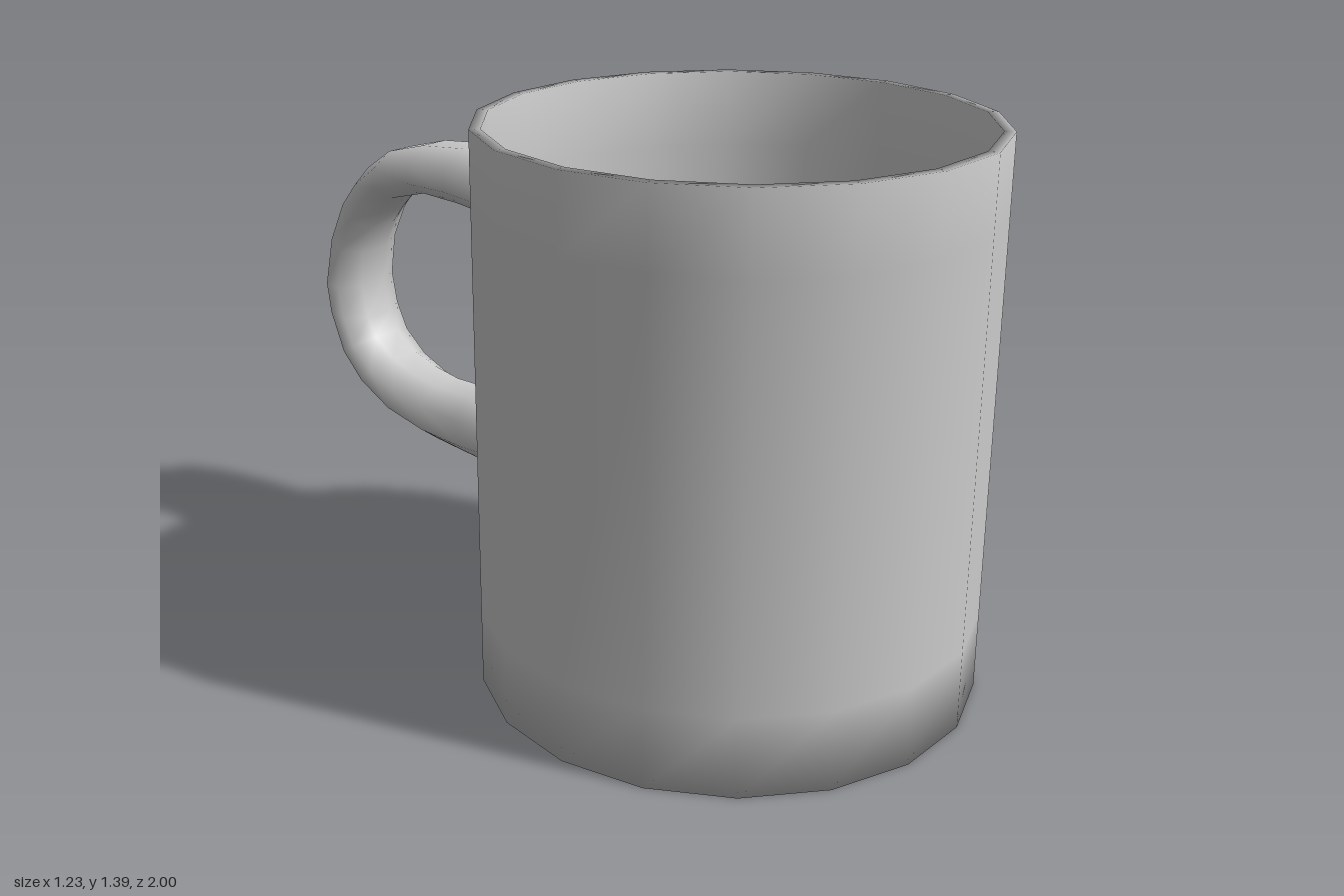
import * as THREE from 'three';

const material = new THREE.MeshStandardMaterial({ color: 0xcccccc, side: THREE.DoubleSide });

// Smooth skin over a row of closed cross-sections, with optional end caps
function skin(name, rings, capped) {
  const n = rings[0].length;
  const index = [];
  for (let i = 0; i < rings.length - 1; i++) {
    for (let j = 0; j < n; j++) {
      const a = i * n + j, b = i * n + (j + 1) % n;
      index.push(a, a + n, b, b, a + n, b + n);
    }
  }
  if (capped) {
    const last = (rings.length - 1) * n;
    for (let j = 1; j < n - 1; j++) {
      index.push(0, j, j + 1, last, last + j + 1, last + j);
    }
  }
  const geometry = new THREE.BufferGeometry().setFromPoints(rings.flat());
  geometry.setIndex(index);
  geometry.computeVertexNormals();
  const mesh = new THREE.Mesh(geometry, material);
  mesh.name = name;
  return mesh;
}

export function createModel() {
  const group = new THREE.Group();
  group.name = 'mug';

  // Body: 18-sided wall, up the outside, over the rim, down to the inner floor
  const sides = 18, centreZ = 0.392;
  const profile = [
    [0.617, 0], [0.617, 0.2], [0.617, 1.2], [0.617, 1.39],
    [0.59, 1.39], [0.59, 1.2], [0.59, 0.2], [0.59, 0.03],
  ];
  const bodyRings = profile.map(([r, y]) => Array.from({ length: sides }, (_, j) => {
    const t = (j / sides) * Math.PI * 2;
    return new THREE.Vector3(r * Math.cos(t), y, centreZ + r * Math.sin(t));
  }));
  group.add(skin('body', bodyRings, true));

  // Handle: flattened octagons between outer and inner [z, y] points
  const stations = [
    [-0.21, 1.2, -0.21, 1.0],
    [-0.3, 1.197, -0.32, 1.03],
    [-0.47, 1.2, -0.49, 1.05],
    [-0.62, 1.185, -0.62, 1.055],
    [-0.75, 1.15, -0.75, 1.02],
    [-0.84, 1.09, -0.8, 0.97],
    [-0.9, 1.02, -0.84, 0.92],
    [-0.96, 0.9, -0.88, 0.84],
    [-1.0, 0.75, -0.89, 0.74],
    [-0.99, 0.67, -0.87, 0.65],
    [-0.94, 0.54, -0.84, 0.6],
    [-0.87, 0.46, -0.77, 0.55],
    [-0.75, 0.39, -0.69, 0.525],
    [-0.6, 0.355, -0.6, 0.51],
    [-0.44, 0.34, -0.48, 0.512],
    [-0.21, 0.34, -0.21, 0.535],
  ];
  const halfWidth = 0.103, corner = 1 / Math.cos(Math.PI / 8);
  const handleRings = stations.map(([oz, oy, iz, iy]) => Array.from({ length: 8 }, (_, j) => {
    const t = ((j + 0.5) / 8) * Math.PI * 2;
    const s = (1 + corner * Math.sin(t)) / 2;
    return new THREE.Vector3(
      halfWidth * corner * Math.cos(t),
      THREE.MathUtils.lerp(iy, oy, s),
      THREE.MathUtils.lerp(iz, oz, s),
    );
  }));
  group.add(skin('handle', handleRings, false));

  return group;
}
